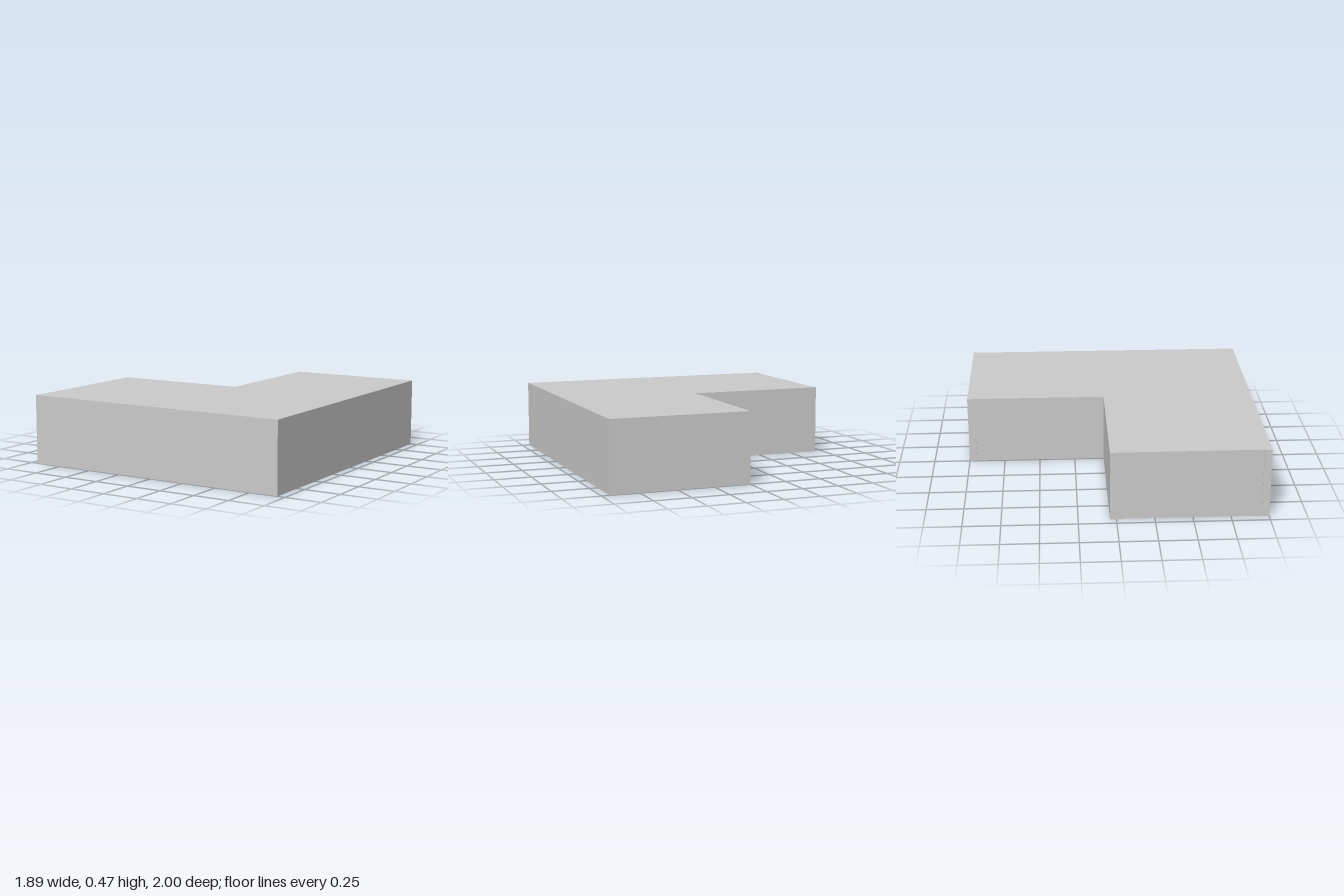
import * as THREE from 'three';

export function createModel() {
  const group = new THREE.Group();
  group.name = 'cornerBlock';
  const material = new THREE.MeshStandardMaterial({ color: 0xcccccc, flatShading: true });

  // L-shaped plan as [x, z], with a shallow recess along the short arm's end
  // and the long arm's inner side
  const plan = [
    [-0.947, 1], [0.947, 1], [0.947, -1], [0, -1], [0, -0.95], [0.004, -0.95],
    [0.004, -0.043], [-0.947, -0.043], [-0.947, 0], [-0.941, 0], [-0.941, 0.95], [-0.947, 0.95],
  ];
  const shape = new THREE.Shape(plan.map(([x, z]) => new THREE.Vector2(x, -z)));

  // Extrude upwards from the ground
  const geometry = new THREE.ExtrudeGeometry(shape, { depth: 0.475, bevelEnabled: false });
  geometry.rotateX(-Math.PI / 2);

  const body = new THREE.Mesh(geometry, material);
  body.name = 'lShapedBody';
  group.add(body);
  return group;
}
